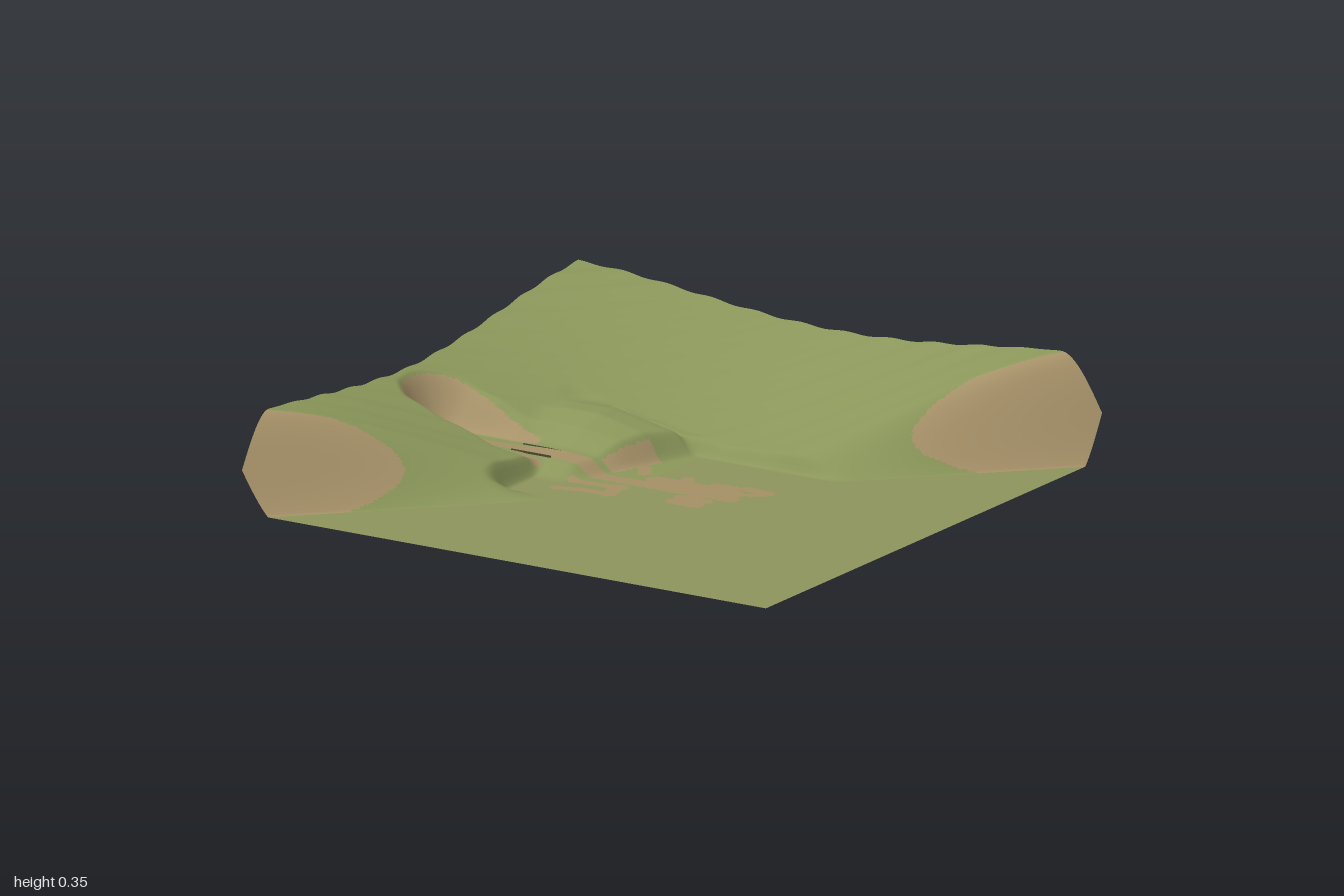
import * as THREE from 'three';

const { clamp, lerp, smoothstep } = THREE.MathUtils;
const N = 240; // grid cells per side

// Piecewise lookup with eased steps
function ramp(v, pts) {
  if (v <= pts[0][0]) return pts[0][1];
  for (let i = 1; i < pts.length; i++) {
    const [a, p] = pts[i - 1], [b, q] = pts[i];
    if (v <= b) return lerp(p, q, (v - a) / (b - a));
  }
  return pts[pts.length - 1][1];
}

// Distance from a point to a segment
function segment(x, z, ax, az, bx, bz) {
  const dx = bx - ax, dz = bz - az;
  const t = clamp(((x - ax) * dx + (z - az) * dz) / (dx * dx + dz * dz), 0, 1);
  return Math.hypot(x - ax - dx * t, z - az - dz * t);
}

const gullyDistance = (x, z) => segment(x, z, -0.83, 0.055, -0.2, 0.045);
const terraceEdge = (z) => -0.14 - 0.38 * (z + 0.32);

function height(x, z) {
  // Hill rising away from the centre and ending in a diagonal bank
  const s = x + z;
  const t = clamp((0.1 - s) / 0.26, 0, 1);
  const bank = 0.5 * smoothstep(t, 0, 1) + 0.5 * Math.sin(t * Math.PI / 2);
  const ripple = 0.003 * Math.sin(s * 2 * Math.PI / 0.17) * smoothstep(-s, 0.1, 0.5);
  const bowl = 0.315 * smoothstep(Math.hypot(x, z), 0.1, 1.42);
  let h = (bowl + 0.03 * Math.max(0, -z) + ripple) * bank;

  // Level clearing with short steps on two sides
  const clearing = smoothstep(x, -0.465, -0.425) * smoothstep(z, -0.36, -0.32) * (1 - smoothstep(z, 0.31, 0.43));
  h *= 1 - clearing;

  // Raised terrace, sloping to the track, with a slanted east edge
  const edge = terraceEdge(z);
  const mask = smoothstep(x, -0.64, -0.52) * (1 - smoothstep(x, edge - 0.05, edge + 0.025))
    * smoothstep(z, -0.39, -0.3) * (1 - smoothstep(z, 0.07, 0.17));
  const top = ramp(z, [[-0.36, 0.11], [-0.27, 0.127], [-0.19, 0.131], [-0.1, 0.105], [-0.02, 0.056], [0.07, 0.045], [0.14, 0.025]])
    * ramp(x, [[-0.4, 1], [-0.3, 0.83], [-0.18, 0.62]]);
  h = lerp(h, top, mask);

  // Gully cut into the hillside
  const cut = (1 - smoothstep(gullyDistance(x, z), 0.055, 0.155)) * (1 - smoothstep(x, -0.57, -0.42));
  return Math.max(0, lerp(h, 0.05, cut));
}

// Trodden ground: ax, az, bx, bz, half width
const TRACKS = [
  [-0.84, 0.055, -0.5, 0.04, 0.022], [-0.5, 0.035, 0.24, 0.03, 0.03],
  [-0.08, -0.03, 0.22, -0.03, 0.035], [0.0, -0.09, 0.03, -0.05, 0.022],
  [0.12, -0.08, 0.18, -0.08, 0.025], [0.22, -0.1, 0.31, -0.09, 0.022],
  [0.31, -0.08, 0.27, -0.05, 0.018], [0.09, 0.09, 0.19, 0.09, 0.022],
  [0.1, 0.14, 0.18, 0.14, 0.03], [0.13, 0.03, 0.13, 0.1, 0.02],
  [-0.75, 0.12, -0.45, 0.11, 0.018], [-0.3, 0.12, -0.12, 0.11, 0.02],
  [-0.14, 0.1, -0.12, 0.19, 0.025], [-0.23, 0.19, -0.12, 0.19, 0.018],
  [-0.31, 0.215, -0.24, 0.2, 0.018], [-0.18, -0.12, -0.15, -0.07, 0.022],
];

function isTrack(x, z) {
  return TRACKS.some(([ax, az, bx, bz, w]) => segment(x, z, ax, az, bx, bz) < w);
}

function isBareSoil(x, z) {
  // Two worn bank ends
  const s = x + z;
  const along = Math.abs(x - z) - (x > 0 ? 1.12 : 1.24);
  if (s < 0.1 && along > 0) {
    const reach = 0.15 * Math.sqrt(Math.min(along / 0.45, 1));
    if (Math.abs(s + 0.02) < Math.min(reach, 0.125)) return true;
  }
  // Worn east face of the terrace
  if (z > -0.2 && z < -0.02 && Math.abs(x - terraceEdge(z) + 0.005) < 0.024) return true;
  // Horseshoe gully wall
  const d = gullyDistance(x, z);
  return d > 0.062 && d < 0.142 - 0.15 * Math.max(0, x + 0.8) && x < (z < 0.05 ? -0.53 : -0.6);
}

function isMeadow(x, z) {
  return x + z > 0.1 || (x > -0.1 && z > -0.32) || (x > -0.43 && z > 0.14 && z < 0.36);
}

export function createModel() {
  const group = new THREE.Group();
  const material = (name, color) => {
    const m = new THREE.MeshStandardMaterial({ color, side: THREE.DoubleSide });
    m.name = name;
    return m;
  };
  const materials = {
    hillside: material('grass green', 0x8a965a),
    meadow: material('dull green', 0x8d935b),
    bareSoil: material('soil brown', 0xa79269),
    track: material('track brown', 0xa38f65),
  };
  const ruts = material('dark earth', 0x4a4230);

  // One smooth sheet of ground
  const sheet = new THREE.PlaneGeometry(2, 2, N, N).rotateX(-Math.PI / 2);
  const pos = sheet.attributes.position;
  for (let i = 0; i < pos.count; i++) pos.setY(i, height(pos.getX(i), pos.getZ(i)));
  sheet.computeVertexNormals();

  // Sort its triangles by ground cover
  const cover = { hillside: [], meadow: [], bareSoil: [], track: [] };
  const index = sheet.index.array;
  for (let i = 0; i < index.length; i += 3) {
    const [a, b, c] = [index[i], index[i + 1], index[i + 2]];
    const x = (pos.getX(a) + pos.getX(b) + pos.getX(c)) / 3;
    const z = (pos.getZ(a) + pos.getZ(b) + pos.getZ(c)) / 3;
    const kind = isBareSoil(x, z) ? 'bareSoil' : isTrack(x, z) ? 'track' : isMeadow(x, z) ? 'meadow' : 'hillside';
    cover[kind].push(a, b, c);
  }
  for (const [name, faces] of Object.entries(cover)) {
    const geometry = new THREE.BufferGeometry();
    geometry.setAttribute('position', pos);
    geometry.setAttribute('normal', sheet.attributes.normal);
    geometry.setIndex(faces);
    const mesh = new THREE.Mesh(geometry, materials[name]);
    mesh.name = name;
    group.add(mesh);
  }

  // Two narrow ruts beside the track
  for (const z of [0.003, 0.075]) {
    const rut = new THREE.Mesh(new THREE.BoxGeometry(0.15, 0.006, 0.005), ruts);
    rut.position.set(-0.49, 0.05, z);
    rut.name = 'trackRut';
    group.add(rut);
  }
  return group;
}
